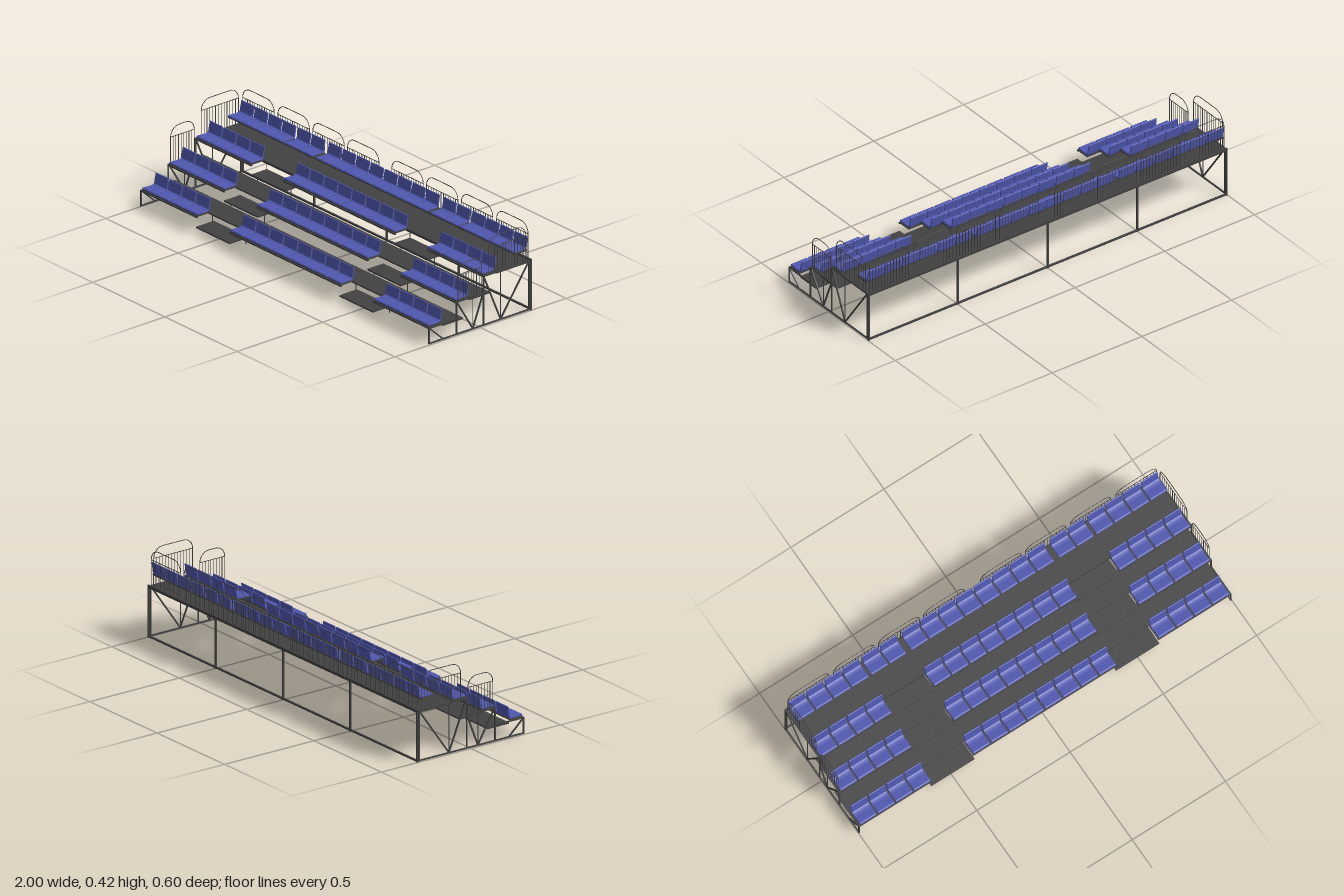
import * as THREE from 'three';

const steel = new THREE.MeshStandardMaterial({ color: 0x424242 });
const blue = new THREE.MeshStandardMaterial({ color: 0x5058b0 });

const AISLES = [-0.495, 0.495], AISLE_W = 0.232, PITCH = 0.0965;
// seat blocks: [centre x, seat count]
const BLOCKS = [[-0.8, 4], [0, 8], [0.8, 4]];
const TOP_EXTRA = [[-0.503, 2], [0.503, 2]];

function group(parent, name) {
  const g = new THREE.Group();
  g.name = name;
  parent.add(g);
  return g;
}

// box given by its min and max on each axis
function box(parent, name, x0, x1, y0, y1, z0, z1) {
  const m = new THREE.Mesh(new THREE.BoxGeometry(x1 - x0, y1 - y0, z1 - z0), steel);
  m.position.set((x0 + x1) / 2, (y0 + y1) / 2, (z0 + z1) / 2);
  m.name = name;
  parent.add(m);
  return m;
}

// square bar in a plane of constant x, between two (z, y) points
function bar(parent, name, x, [za, ya], [zb, yb], t = 0.006) {
  const len = Math.hypot(zb - za, yb - ya);
  const m = new THREE.Mesh(new THREE.BoxGeometry(t, t, len), steel);
  m.position.set(x, (ya + yb) / 2, (za + zb) / 2);
  m.rotation.x = -Math.atan2(yb - ya, zb - za);
  m.name = name;
  parent.add(m);
}

// moulded seat: side profile extruded across its width
function seatGeometry() {
  const w = 0.088, s = new THREE.Shape();
  s.moveTo(0, 0.003);
  s.quadraticCurveTo(0.002, 0.009, 0.008, 0.008);
  s.lineTo(0.045, 0.005);
  s.quadraticCurveTo(0.067, 0.005, 0.069, 0.012);
  s.lineTo(0.078, 0.058);
  s.quadraticCurveTo(0.081, 0.06, 0.082, 0.057);
  s.lineTo(0.075, 0.010);
  s.quadraticCurveTo(0.073, 0.001, 0.066, 0);
  s.lineTo(0.004, 0);
  s.closePath();
  const g = new THREE.ExtrudeGeometry(s, {
    depth: w - 0.004, bevelEnabled: true, bevelSize: 0.001, bevelThickness: 0.002,
    bevelSegments: 1, curveSegments: 4
  });
  g.translate(0, 0, -(w - 0.004) / 2);
  g.rotateY(Math.PI / 2); // profile depth now runs towards -z
  return g;
}

// arched guard rail in its own xy plane, centred on x = 0
function guardRail(width, y0, yRail, yTop, pickets) {
  const g = new THREE.Group(), h = width / 2, r = yTop - yRail;
  const path = new THREE.CurvePath();
  const v = (x, y) => new THREE.Vector3(x, y, 0);
  const arc = (cx, a0) => new THREE.CatmullRomCurve3([0, 1, 2, 3, 4, 5, 6].map(i => {
    const a = a0 - i * Math.PI / 12;
    return v(cx + r * Math.cos(a), yRail + r * Math.sin(a));
  }));
  path.add(new THREE.LineCurve3(v(-h, y0), v(-h, yRail)));
  path.add(arc(-h + r, Math.PI));
  path.add(new THREE.LineCurve3(v(-h + r, yTop), v(h - r, yTop)));
  path.add(arc(h - r, Math.PI / 2));
  path.add(new THREE.LineCurve3(v(h, yRail), v(h, y0)));
  const hoop = new THREE.Mesh(new THREE.TubeGeometry(path, 60, 0.0018, 6), steel);
  hoop.name = 'hoop';
  g.add(hoop);
  box(g, 'crossRail', -h, h, yRail - 0.0012, yRail + 0.0012, -0.0012, 0.0012);
  for (let i = 1; i < pickets; i++) {
    const x = -h + width * i / pickets;
    box(g, 'picket', x - 0.001, x + 0.001, y0, yRail, -0.001, 0.001);
  }
  return g;
}

export function createModel() {
  const root = new THREE.Group();
  root.name = 'bleachers';

  // full-width walking decks
  const decks = group(root, 'decks');
  for (const [y, t, z0, z1] of [[0.075, 0.007, 0.097, 0.216], [0.156, 0.007, -0.06, 0.06],
    [0.244, 0.01, -0.29, -0.095]])
    box(decks, 'deck', -0.995, 0.995, y - t, y, z0, z1);

  // aisle steps with their hangers
  const steps = group(root, 'aisleSteps');
  for (const cx of AISLES) {
    const x0 = cx - AISLE_W / 2, x1 = cx + AISLE_W / 2;
    for (const [y, z0, z1] of [[0.034, 0.197, 0.3], [0.116, 0.043, 0.137], [0.198, -0.113, -0.022]])
      box(steps, 'step', x0, x1, y - 0.007, y, z0, z1);
    for (const x of [x0, x1])
      for (const [z, ya, yb] of [[0.204, 0, 0.07], [0.097, 0.07, 0.11], [-0.059, 0.15, 0.193],
        [-0.112, 0.193, 0.237]])
        bar(steps, 'stepPost', x, [z, ya], [z, yb], 0.003);
  }

  // seat rows: [front z, seat underside y]
  const rows = group(root, 'seatRows'), seatGeo = seatGeometry();
  [[0.296, 0.088], [0.138, 0.168], [-0.02, 0.251], [-0.204, 0.299]].forEach(([z, y], i) => {
    const row = group(rows, 'seatRow');
    const blocks = i === 3 ? [...BLOCKS, ...TOP_EXTRA] : BLOCKS;
    for (const [cx, n] of blocks) {
      const h = n * PITCH / 2;
      box(row, 'seatPlank', cx - h, cx + h, y - 0.006, y, z - 0.073, z - 0.003);
      if (i < 3) box(row, 'frontBeam', cx - h, cx + h, y - 0.012, y - 0.005, z - 0.004, z + 0.003);
      for (let k = 0; k < n; k++) {
        const seat = new THREE.Mesh(seatGeo, blue);
        seat.name = 'seat';
        seat.position.set(cx + (k - (n - 1) / 2) * PITCH, y, z);
        row.add(seat);
      }
    }
    if (i === 3) box(row, 'topPlank', -0.99, 0.99, y - 0.006, y, z - 0.073, z - 0.003);
  });

  // braced end frames, mirrored
  for (const s of [-1, 1]) {
    const f = group(root, 'endFrame'), x = s * 0.996;
    const bars = [
      [[0.3, 0.006], [-0.295, 0.006]],
      [[0.3, 0.08], [0.137, 0.08]], [[0.139, 0.162], [-0.02, 0.162]], [[-0.018, 0.243], [-0.29, 0.243]],
      [[0.297, 0.003], [0.297, 0.083]], [[0.138, 0.003], [0.138, 0.165]],
      [[-0.02, 0.003], [-0.02, 0.246]], [[-0.286, 0.003], [-0.286, 0.246]],
      [[0.295, 0.078], [0.215, 0.006]], [[0.134, 0.16], [0.042, 0.007]],
      [[-0.016, 0.155], [0.042, 0.007]], [[-0.022, 0.242], [-0.12, 0.007]],
      [[-0.286, 0.242], [-0.12, 0.007]]
    ];
    for (const [a, b] of bars) bar(f, 'frameBar', x, a, b);
    bar(f, 'thinPost', x, [0.042, 0.006], [0.042, 0.152], 0.003);
    bar(f, 'thinPost', x, [-0.12, 0.006], [-0.12, 0.24], 0.003);
  }

  // rear frame
  const back = group(root, 'rearFrame');
  for (const x of [-0.996, -0.5, 0, 0.5, 0.996])
    box(back, 'rearPost', x - 0.004, x + 0.004, 0, 0.25, -0.3, -0.292);
  box(back, 'rearTopBeam', -1, 1, 0.236, 0.25, -0.3, -0.292);
  box(back, 'rearBaseBeam', -1, 1, 0.002, 0.01, -0.3, -0.292);
  box(back, 'topDeckFrontBeam', -0.996, 0.996, 0.238, 0.246, -0.102, -0.095);

  // guard rails along the back and at both ends
  const rails = group(root, 'guardRails');
  for (const s of [-1, 1]) {
    for (const x of [0.153, 0.393, 0.634, 0.878]) {
      const r = guardRail(0.218, 0.244, 0.371, 0.421, 13);
      r.name = 'backRail';
      r.position.set(s * x, 0, -0.289);
      rails.add(r);
    }
    for (const [w, z, y0, yr, yt, n] of [[0.217, -0.1615, 0.244, 0.371, 0.421, 13],
      [0.139, 0.057, 0.16, 0.292, 0.342, 9]]) {
      const r = guardRail(w, y0, yr, yt, n);
      r.name = 'endRail';
      r.rotation.y = Math.PI / 2;
      r.position.set(s * 0.994, 0, z);
      rails.add(r);
    }
  }
  return root;
}
